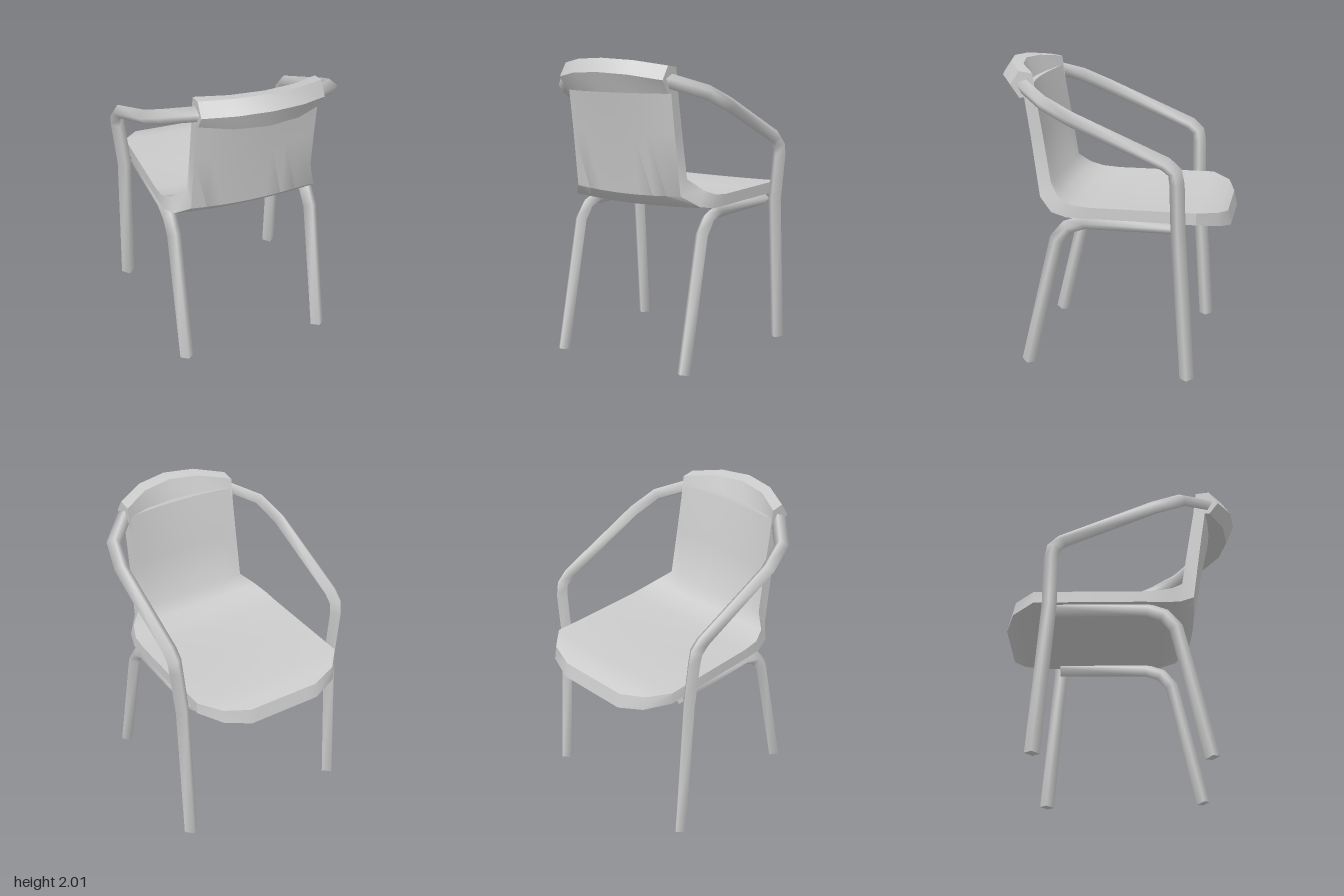
import * as THREE from 'three';
import { toCreasedNormals } from 'three/addons/utils/BufferGeometryUtils.js';

const material = new THREE.MeshStandardMaterial({ color: 0xcccccc });

// Joins closed loops of points into a capped solid; crease = 0 keeps the sides smooth.
function loft(name, loops, crease = 0) {
  const n = loops[0].length;
  const pos = [];
  const index = [];
  const add = (loop) => {
    const base = pos.length / 3;
    loop.forEach((p) => pos.push(p.x, p.y, p.z));
    return base;
  };
  loops.forEach(add);
  for (let r = 0; r < loops.length - 1; r++) {
    for (let i = 0; i < n; i++) {
      const a = r * n + i, b = r * n + (i + 1) % n;
      index.push(a, b, b + n, a, b + n, a + n);
    }
  }
  // Caps: strips between opposite ends of the loop
  [[loops[0], true], [loops[loops.length - 1], false]].forEach(([loop, flip]) => {
    const s = add(loop);
    const tri = (a, b, c) => (flip ? index.push(s + a, s + c, s + b) : index.push(s + a, s + b, s + c));
    for (let i = 0; i + 1 < n - 1 - i; i++) {
      tri(i, i + 1, n - 1 - i);
      if (n - 2 - i !== i + 1) tri(i + 1, n - 2 - i, n - 1 - i);
    }
  });
  // Turn the faces outward when the solid is inside out
  const v = (i) => new THREE.Vector3().fromArray(pos, i * 3);
  let volume = 0;
  for (let i = 0; i < index.length; i += 3) {
    volume += v(index[i]).dot(v(index[i + 1]).cross(v(index[i + 2])));
  }
  if (volume < 0) index.reverse();

  let geometry = new THREE.BufferGeometry();
  geometry.setAttribute('position', new THREE.Float32BufferAttribute(pos, 3));
  geometry.setIndex(index);
  geometry.computeVertexNormals();
  if (crease) geometry = toCreasedNormals(geometry, crease);
  const mesh = new THREE.Mesh(geometry, material);
  mesh.name = name;
  return mesh;
}

// Four-sided smooth tube along a path, mirrored by side
function tube(name, path, side, radius = 0.047) {
  const pts = path.map(([x, y, z]) => new THREE.Vector3(x * side, y, z));
  const across = new THREE.Vector3(1, 0, 0);
  const loops = pts.map((p, i) => {
    const prev = pts[Math.max(i - 1, 0)], next = pts[Math.min(i + 1, pts.length - 1)];
    const t = next.clone().sub(p).normalize().add(p.clone().sub(prev).normalize()).normalize();
    across.addScaledVector(t, -across.dot(t)).normalize();
    const up = t.clone().cross(across);
    return [0, 1, 2, 3].map((k) => p.clone()
      .addScaledVector(across, radius * Math.cos(k * Math.PI / 2))
      .addScaledVector(up, radius * Math.sin(k * Math.PI / 2)));
  });
  return loft(name, loops);
}

// Seat and backrest in one bent sheet: [top z, top y, under z, under y, half width, hollow]
function createShell() {
  const stations = [
    [-0.765, 1.06, -0.787, 0.967, 0.25, 0],
    [-0.715, 1.093, -0.73, 1.005, 0.42, 0.004],
    [-0.59, 1.115, -0.59, 1.037, 0.535, 0.01],
    [-0.2, 1.115, -0.2, 1.04, 0.535, 0.018],
    [0.1, 1.115, 0.12, 1.04, 0.535, 0.022],
    [0.22, 1.125, 0.25, 1.04, 0.53, 0.024],
    [0.31, 1.16, 0.36, 1.06, 0.495, 0.024],
    [0.38, 1.235, 0.455, 1.135, 0.41, 0.022],
    [0.43, 1.55, 0.51, 1.535, 0.403, 0.028],
    [0.485, 1.88, 0.56, 1.865, 0.4, 0.05],
  ];
  const columns = 8;
  const loops = stations.map(([zt, yt, zb, yb, w, hollow]) => {
    const out = new THREE.Vector3(0, yt - yb, zt - zb).normalize();
    const row = (y, z) => Array.from({ length: columns + 1 }, (_, i) => {
      const u = i / columns * 2 - 1;
      return new THREE.Vector3(u * w, y, z).addScaledVector(out, -hollow * (1 - u * u));
    });
    return [...row(yt, zt), ...row(yb, zb).reverse()];
  });
  return loft('seatAndBackrest', loops, 0.7);
}

// Curved rail along the top of the backrest, from five-cornered sections (z, y)
function createTopRail() {
  const end = [[0.49, 1.945], [0.58, 1.957], [0.64, 1.87], [0.58, 1.785], [0.47, 1.795]];
  const middle = [[0.64, 1.985], [0.72, 2.0], [0.78, 1.915], [0.725, 1.79], [0.56, 1.79]];
  const loops = [[-0.4, 0], [-0.21, 0.74], [0, 1], [0.21, 0.74], [0.4, 0]].map(([x, t]) =>
    end.map(([z, y], i) => new THREE.Vector3(
      x,
      THREE.MathUtils.lerp(y, middle[i][1], t),
      THREE.MathUtils.lerp(z, middle[i][0], t))));
  return loft('topRail', loops, 0.7);
}

export function createModel() {
  const chair = new THREE.Group();
  chair.name = 'armchair';
  chair.add(createShell(), createTopRail());

  // Front leg running up and back into the armrest
  const armPath = [
    [0.58, 0, -0.555], [0.58, 1.0, -0.482], [0.613, 1.32, -0.475], [0.616, 1.395, -0.462],
    [0.616, 1.445, -0.405], [0.611, 1.705, 0.2], [0.565, 1.79, 0.385], [0.4, 1.86, 0.55],
    [0.3, 1.875, 0.61],
  ];
  // Rear leg bending forward into the seat rail
  const rearPath = [
    [0.49, 0, 0.535], [0.49, 0.875, 0.33], [0.49, 0.965, 0.255], [0.49, 1.003, 0.145],
    [0.49, 1.003, -0.48],
  ];
  for (const side of [1, -1]) {
    const label = side > 0 ? 'left' : 'right';
    chair.add(tube(label + 'FrontLegAndArmrest', armPath, side, 0.048));
    chair.add(tube(label + 'RearLegAndSeatRail', rearPath, side));
  }
  return chair;
}
